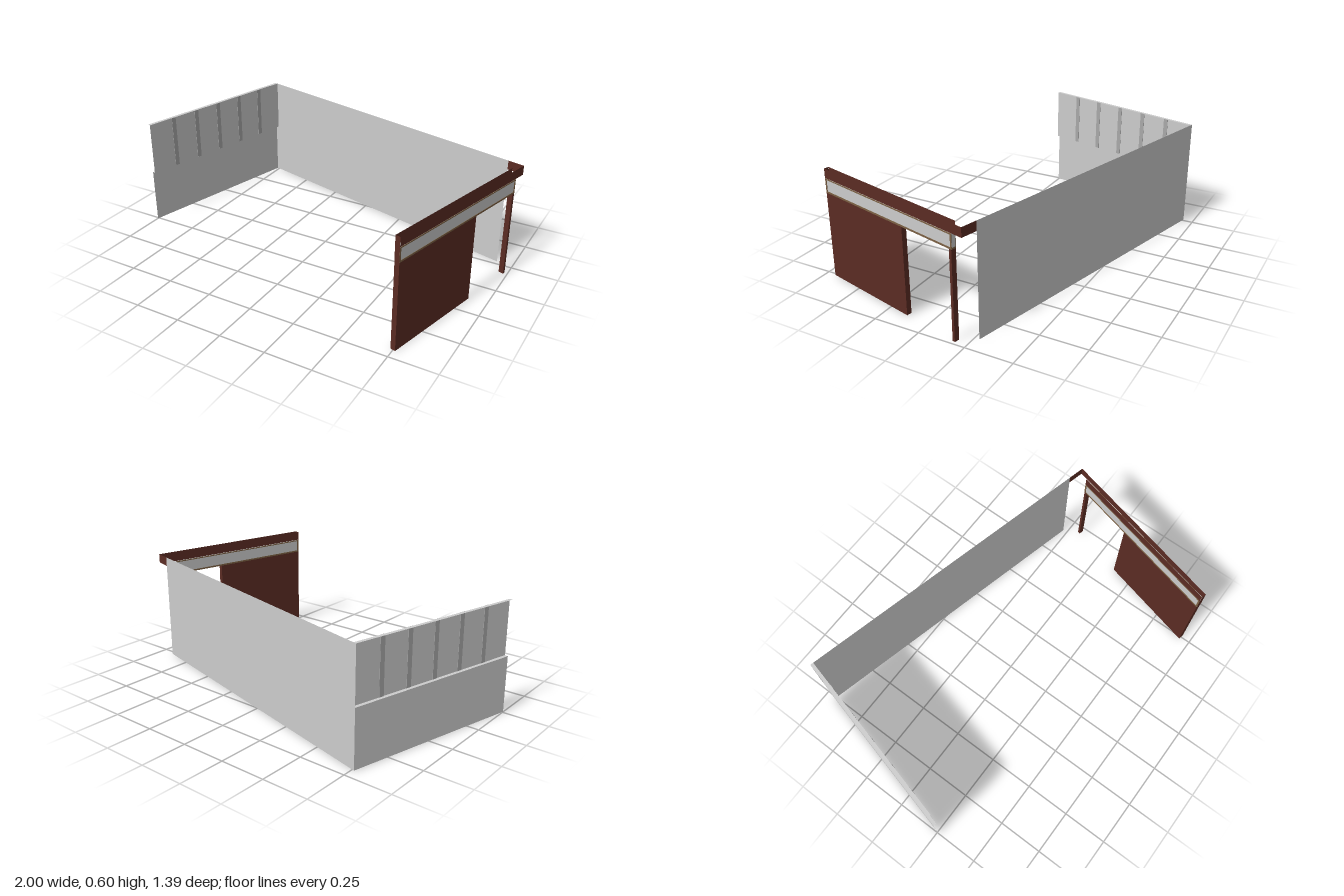
import * as THREE from 'three';

const mat = (name, color) => {
  const m = new THREE.MeshStandardMaterial({ color, side: THREE.DoubleSide });
  m.name = name;
  return m;
};

export function createModel() {
  const gray = mat('pale gray', 0xcccccc);
  const mullionGray = mat('mullion gray', 0xa8a8a8);
  const brown = mat('dark brown', 0x5b2c23);
  const trim = mat('bronze trim', 0x7c6144);

  const model = new THREE.Group();
  model.name = 'room';
  // local x runs along the back wall, local z along the side walls
  const room = new THREE.Group();
  room.name = 'walls';
  room.position.set(-0.762, 0, -0.693);
  room.rotation.y = THREE.MathUtils.degToRad(-14);
  model.add(room);

  const add = (name, geo, m, x, y, z) => {
    const mesh = new THREE.Mesh(geo, m);
    mesh.name = name;
    mesh.position.set(x, y, z);
    room.add(mesh);
    return mesh;
  };
  // solid given by its two corners
  const box = (name, m, x0, x1, y0, y1, z0, z1) =>
    add(name, new THREE.BoxGeometry(x1 - x0, y1 - y0, z1 - z0), m,
      (x0 + x1) / 2, (y0 + y1) / 2, (z0 + z1) / 2);
  // open sheets: across x, along z, and flat
  const sheetX = (name, m, x0, x1, y0, y1, z) =>
    add(name, new THREE.PlaneGeometry(x1 - x0, y1 - y0), m, (x0 + x1) / 2, (y0 + y1) / 2, z);
  const sheetZ = (name, m, x, y0, y1, z0, z1) => {
    const s = add(name, new THREE.PlaneGeometry(z1 - z0, y1 - y0), m, x, (y0 + y1) / 2, (z0 + z1) / 2);
    s.rotation.y = Math.PI / 2;
  };
  const sheetFlat = (name, m, x0, x1, y, z0, z1) => {
    const s = add(name, new THREE.PlaneGeometry(x1 - x0, z1 - z0), m, (x0 + x1) / 2, y, (z0 + z1) / 2);
    s.rotation.x = -Math.PI / 2;
  };

  const H = 0.6, L = 0.98, SILL = 0.305, W = 0.018;

  // back wall
  sheetX('backWall', gray, 0, 1.725, 0, H, 0);

  // side wall with a band of set-back windows
  sheetZ('lowerSideWall', gray, 0, 0, SILL, 0, L);
  sheetFlat('windowSill', gray, 0, W, SILL, 0, L);
  sheetFlat('windowHead', gray, 0, W, H, 0, L);
  sheetZ('windowBand', gray, W, SILL, H, 0, L);
  for (let i = 1; i < 6; i++) {
    const z = (L * i) / 6;
    box('mullion', mullionGray, W - 0.002, W + 0.002, SILL, H, z - 0.013, z + 0.013);
  }

  // entrance side: beam of open sheets, with a short return to the back wall
  const X1 = 1.815, X0 = X1 - 0.027, Z0 = 0.065, Y0 = 0.47, Y1 = 0.55;
  sheetZ('beamOuter', brown, X1, Y1, H, 0, L);
  sheetZ('beamInner', brown, X0, Y1, H, Z0, L);
  sheetX('beamReturn', brown, 1.725, X1, Y1, H, 0);
  sheetX('frontEnd', brown, X0, X1, Y0, H, L + 0.001);

  // solid panel and door post
  box('entrancePanel', brown, X0, X1, 0, Y0, 0.4, L);
  box('doorPost', brown, X0, X1, 0, Y0, 0.067, 0.082);

  // transom with trim on both faces
  const B = 0.009;
  box('transom', gray, X0 + 0.002, X1 - 0.002, Y0 + B, Y1 - 0.002, Z0, L);
  box('transomBottomTrim', trim, X0, X1, Y0, Y0 + B, Z0, L);
  for (const x of [X0, X1 - 0.003]) {
    box('transomTopTrim', trim, x, x + 0.003, Y1 - B, Y1 - 0.003, Z0, L);
    for (const z of [Z0, L - B])
      box('transomEndTrim', trim, x, x + 0.003, Y0 + B, Y1 - B, z, z + B);
  }
  return model;
}
